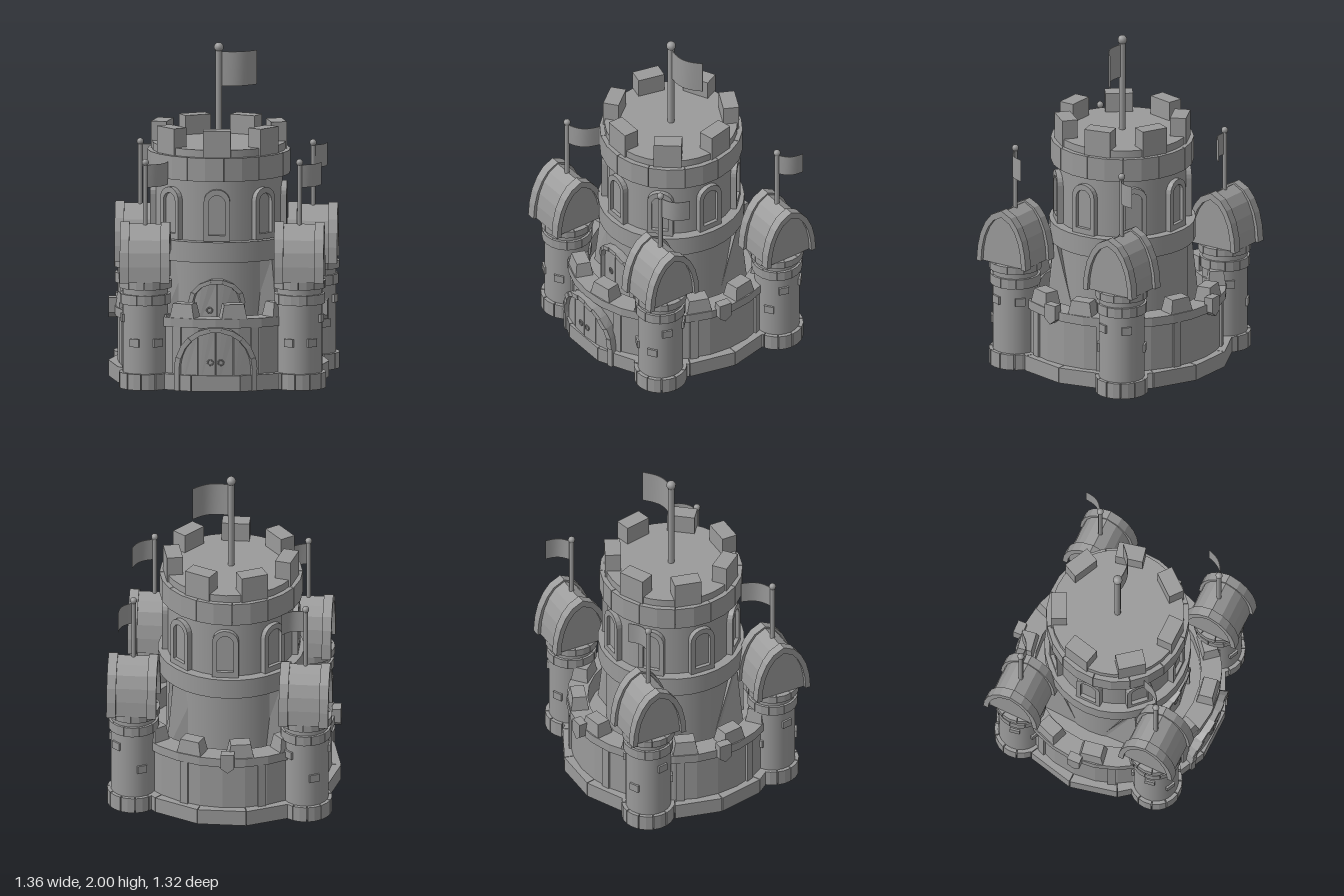
import * as THREE from 'three';

const GREY = 0x9a9a9a;
const mat = new THREE.MeshStandardMaterial({ color: GREY });
const flat = new THREE.MeshStandardMaterial({ color: GREY, flatShading: true });
const thin = new THREE.MeshStandardMaterial({ color: GREY, side: THREE.DoubleSide });
const TAU = Math.PI * 2;

function add(parent, name, geo, m = flat) {
  const mesh = new THREE.Mesh(geo, m);
  mesh.name = name;
  parent.add(mesh);
  return mesh;
}
function group(parent, name, x = 0, y = 0, z = 0) {
  const g = new THREE.Group();
  g.name = name;
  g.position.set(x, y, z);
  parent.add(g);
  return g;
}
const poly = pts => new THREE.Shape(pts.map(p => new THREE.Vector2(p[0], p[1])));
const slab = (shape, depth, z = 0) =>
  new THREE.ExtrudeGeometry(shape, { depth, bevelEnabled: false }).translate(0, 0, z);
const drum = (parent, name, r, y0, y1, sides, m = mat, open = false) =>
  add(parent, name, new THREE.CylinderGeometry(r, r, y1 - y0, sides, 1, open).translate(0, (y0 + y1) / 2, 0), m);

// Ring of curved blocks with narrow joints
function blockRing(parent, name, n, r0, r1, y0, y1, gap = 0.03, start = 0, steps = 2) {
  for (let i = 0; i < n; i++) {
    const a0 = start + (i * TAU) / n + gap / 2, a1 = start + ((i + 1) * TAU) / n - gap / 2;
    const arc = r => Array.from({ length: steps + 1 }, (_, k) => {
      const a = a0 + ((a1 - a0) * k) / steps;
      return [r * Math.cos(a), r * Math.sin(a)];
    });
    const shape = poly([...arc(r1), ...arc(r0).reverse()]);
    add(parent, name, slab(shape, y1 - y0).rotateX(-Math.PI / 2).translate(0, y0, 0));
  }
}

// Points of an arch, from right foot over the crown to left foot
function archPts(hw, base, spring, rise, n) {
  const pts = [[hw, base]];
  for (let i = 0; i <= n; i++) {
    const t = (Math.PI * i) / n;
    pts.push([hw * Math.cos(t), spring + rise * Math.sin(t)]);
  }
  return [...pts, [-hw, base]];
}
// Wrap a flat piece around a cylinder of radius R
function bend(geo, R) {
  const p = geo.attributes.position;
  for (let i = 0; i < p.count; i++) {
    const a = p.getX(i) / R, r = R + p.getZ(i);
    p.setXYZ(i, r * Math.sin(a), p.getY(i), r * Math.cos(a));
  }
  geo.computeVertexNormals();
  return geo;
}

// Arched planked door with a surround of stones, wrapped on radius R
function archedDoor(parent, name, { hw, base, spring, rise, t, R, out, planks, stones, handles }) {
  const g = group(parent, name);
  const outer = archPts(hw, base, spring, rise, stones), inner = archPts(hw - t, base, spring, rise - t, stones);
  for (let i = 0; i < outer.length - 1; i++) {
    const d = out + (i % 2 ? 0.006 : 0);
    add(g, 'surroundStone', bend(slab(poly([outer[i], outer[i + 1], inner[i + 1], inner[i]]), d + 0.05, -0.05), R));
  }
  const w = hw - t, step = (2 * w) / planks;
  const top = x => spring + (rise - t) * Math.sqrt(Math.max(0, 1 - (x / w) ** 2));
  for (let i = 0; i < planks; i++) {
    const x0 = -w + i * step + 0.002, x1 = -w + (i + 1) * step - 0.002;
    const pts = [[x0, base], [x1, base]];
    for (let k = 0; k <= 6; k++) {
      const x = x1 + ((x0 - x1) * k) / 6;
      pts.push([x, top(x)]);
    }
    add(g, 'doorPlank', bend(slab(poly(pts), out * 0.5 + 0.05, -0.05), R));
  }
  for (const x of handles)
    add(g, 'doorHandle', bend(new THREE.TorusGeometry(0.016, 0.004, 6, 12)
      .translate(x, base + (spring + rise - base) * 0.45, out * 0.5 + 0.003), R));
}

// Pole with ball and a curved flag reaching (dx, dz)
function flag(parent, y0, y1, r, ball, dx, dz, low, high) {
  const g = group(parent, 'flag');
  drum(g, 'flagPole', r, y0, y1, 10);
  add(g, 'poleBall', new THREE.SphereGeometry(ball, 10, 7).translate(0, y1, 0), mat);
  const cloth = new THREE.BoxGeometry(1, high - low, 0.005, 10, 1, 1).translate(0.5, (low + high) / 2, 0);
  const p = cloth.attributes.position;
  for (let i = 0; i < p.count; i++) {
    const u = p.getX(i), s = 0.17 * Math.sin(u * Math.PI);
    p.setX(i, u * dx - s * dz);
    p.setZ(i, u * dz + s * dx + p.getZ(i));
  }
  cloth.computeVertexNormals();
  add(g, 'flagCloth', cloth, thin);
}

// Corner tower with a pointed barrel roof
function tower(parent, x, z, dx, dz) {
  const g = group(parent, 'cornerTower', x, 0, z);
  drum(g, 'towerBody', 0.135, 0, 0.64, 24, thin, true);
  blockRing(g, 'towerFootStone', 11, 0.125, 0.157, 0, 0.095, 0.04);
  blockRing(g, 'towerCollarStone', 10, 0.12, 0.15, 0.505, 0.565, 0.02);
  blockRing(g, 'towerTopStone', 10, 0.12, 0.157, 0.6, 0.645, 0.02, 0.3);
  [[-0.45, 0.28], [0.6, 0.28], [1.25, 0.42], [2.4, 0.42], [3.6, 0.28], [4.9, 0.42]].forEach(([a, y]) => {
    const b = add(g, 'wallBrick', new THREE.BoxGeometry(0.06, 0.048, 0.03).translate(0, y, 0.13));
    b.rotation.y = a;
  });
  const side = [[0.178, 0.645], [0.17, 0.74], [0.15, 0.825], [0.115, 0.9], [0.07, 0.955], [0, 0.99]];
  const full = [...side, ...side.slice(0, -1).reverse().map(([a, b]) => [-a, b])];
  const inset = (kx, ky) => full.map(([a, b]) => [a * kx, 0.645 + (b - 0.645) * ky]);
  const roof = group(g, 'barrelRoof');
  roof.rotation.y = Math.PI / 2;
  add(roof, 'roofBarrel', slab(poly(inset(0.89, 0.965)), 0.25, -0.125));
  for (const s of [-1, 1])
    add(roof, 'roofRim', slab(poly([...full, ...inset(0.82, 0.88).reverse()]), 0.055, s * 0.12 - 0.0275));
  flag(g, 0.94, 1.345, 0.014, 0.021, dx, dz, 1.195, 1.33);
}

export function createModel() {
  const root = new THREE.Group();
  root.name = 'castle';
  const c = group(root, 'mainCastle', -0.018, 0, 0);

  // Curtain wall with courtyard, foot stones and top band
  const wall = [[0, 0], [0.6, 0], [0.6, 0.375], [0.62, 0.375], [0.62, 0.43], [0.495, 0.43], [0.495, 0.3], [0, 0.3]];
  add(c, 'curtainWall', new THREE.LatheGeometry(wall.map(p => new THREE.Vector2(...p)), 28));
  blockRing(c, 'wallFootStone', 14, 0.55, 0.655, 0, 0.095, 0.006, 0, 1);
  for (let i = 0; i < 8; i++) {
    const rib = add(c, 'wallRib', new THREE.BoxGeometry(0.05, 0.3, 0.04).translate(0, 0.23, 0.59));
    rib.rotation.y = (i + 0.5) * TAU / 8;
  }
  // Tapered battlements on the wall
  for (let i = 0; i < 12; i++) {
    const geo = new THREE.CylinderGeometry(0.78, 1, 0.085, 4, 1).rotateY(Math.PI / 4)
      .scale(0.108, 1, 0.075).translate(0, 0.472, 0.557);
    add(c, 'wallBattlement', geo).rotation.y = Math.PI / 2 - (19.5 + i * 30) * TAU / 360;
  }
  // Pointed brackets on the sides and back
  for (const a of [84, 183, 272]) {
    const shape = poly([[-0.04, 0.475], [-0.04, 0.385], [0, 0.353], [0.04, 0.385], [0.04, 0.475]]);
    add(c, 'wallBracket', slab(shape, 0.055, 0.6)).rotation.y = a * TAU / 360;
  }
  archedDoor(c, 'mainGate', { hw: 0.235, base: 0, spring: 0.13, rise: 0.255, t: 0.03, R: 0.61, out: 0.045,
    planks: 4, stones: 11, handles: [-0.03, 0.03] });

  // Keep
  drum(c, 'keepBase', 0.385, 0.29, 0.75, 32);
  drum(c, 'keepBand', 0.435, 0.74, 0.862, 32);
  drum(c, 'keepBody', 0.378, 0.85, 1.25, 32);
  drum(c, 'keepTop', 0.395, 1.23, 1.41, 32);
  blockRing(c, 'keepCollarStone', 12, 0.37, 0.425, 1.225, 1.365, 0.008, 0.1);
  for (let i = 0; i < 7; i++) {
    const geo = new THREE.BoxGeometry(0.165, 0.16, 0.095).translate(0, 1.445, 0.348);
    add(c, 'keepBattlement', geo).rotation.y = i * TAU / 7;
  }
  archedDoor(c, 'keepDoor', { hw: 0.155, base: 0.3, spring: 0.5, rise: 0.14, t: 0.025, R: 0.385, out: 0.045,
    planks: 2, stones: 7, handles: [-0.04] });

  // Arched windows
  for (let i = 0; i < 8; i++) {
    const w = group(c, 'keepWindow');
    w.rotation.y = i * TAU / 8;
    const out = archPts(0.078, 0.865, 1.1, 0.075, 10), inn = archPts(0.05, 0.9, 1.09, 0.05, 10);
    const frame = poly(out);
    frame.holes.push(new THREE.Path(inn.map(p => new THREE.Vector2(...p))));
    add(w, 'windowFrame', slab(frame, 0.06, 0.345));
    add(w, 'windowPane', slab(poly(inn), 0.03, 0.353));
  }
  // Sloping buttresses, wider at the foot, drawn in below the keep's band
  for (const turn of [0, Math.PI]) for (const sz of [-1, 1]) {
    const pts = [[0.31, 0.75], [0.25, 0.75], [0.1, 0.36], [0.1, 0.29], [0.31, 0.29]].map(([z, y]) => [sz * z, y]);
    const geo = slab(poly(pts), 0.2, 0.17).rotateY(Math.PI / 2);
    const p = geo.attributes.position;
    for (let i = 0; i < p.count; i++) {
      const x = p.getX(i), z = p.getZ(i), lim = p.getY(i) > 0.7 ? 0.42 : 0.47;
      const k = Math.min(1, lim / Math.hypot(x, z));
      p.setX(i, x * k);
      p.setZ(i, z * k);
    }
    geo.computeVertexNormals();
    add(c, 'buttress', geo).rotation.y = turn;
  }
  flag(c, 1.4, 1.971, 0.02, 0.029, 0.225, -0.07, 1.74, 1.945);

  // Corner towers: x, z, flag reach
  [[-0.44, 0.457, 0.13, -0.14], [0.474, 0.43, 0.125, -0.125], [-0.497, -0.405, 0.14, -0.055], [0.53, -0.38, 0.08, -0.13]]
    .forEach(t => tower(root, ...t));
  return root;
}
